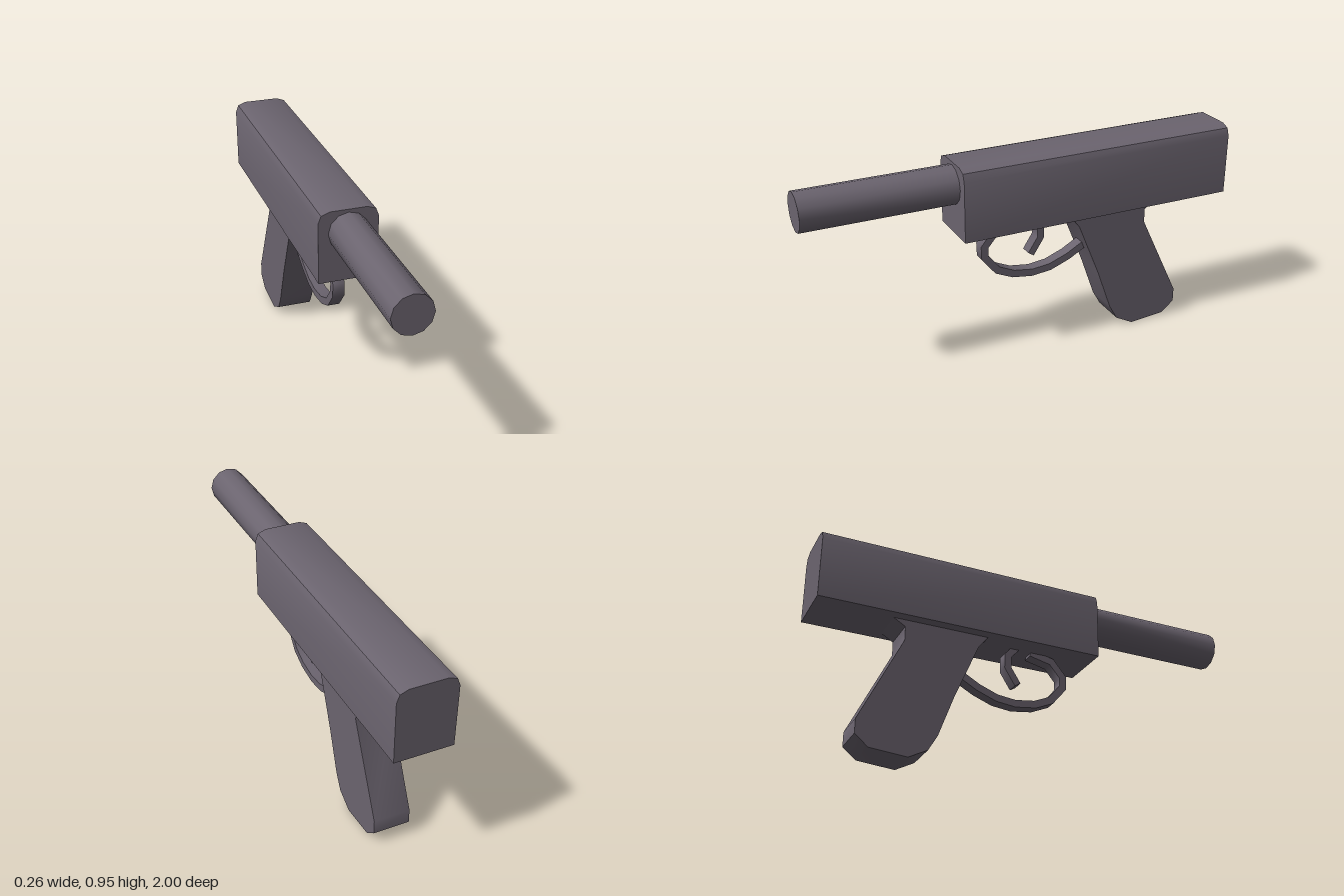
import * as THREE from 'three';
import { toCreasedNormals } from 'three/addons/utils/BufferGeometryUtils.js';

const material = new THREE.MeshStandardMaterial({ color: 0x6b646f });

function part(name, geometry) {
  const mesh = new THREE.Mesh(toCreasedNormals(geometry, 0.8), material);
  mesh.name = name;
  return mesh;
}

function extrude(points, depth) {
  const shape = new THREE.Shape(points.map(([a, b]) => new THREE.Vector2(a, b)));
  return new THREE.ExtrudeGeometry(shape, { depth, bevelEnabled: false });
}

// Side profile given as [z, y], extruded across x and centred
function sidePlate(points, width) {
  return extrude(points, width).translate(0, 0, -width / 2).rotateY(-Math.PI / 2);
}

// Outline of a strip of even thickness along a [z, y] centre line, with mitred corners
function strip(line, thickness) {
  const pts = line.map(([a, b]) => new THREE.Vector2(a, b));
  const normal = (p, q) => new THREE.Vector2(p.y - q.y, q.x - p.x).normalize();
  const sides = [[], []];
  pts.forEach((p, i) => {
    const n0 = normal(pts[Math.max(i - 1, 0)], pts[Math.max(i, 1)]);
    const n1 = i < pts.length - 1 ? normal(p, pts[i + 1]) : n0;
    const m = n0.clone().add(n1).normalize();
    m.multiplyScalar(thickness / 2 / m.dot(n1));
    sides[0].push([p.x + m.x, p.y + m.y]);
    sides[1].unshift([p.x - m.x, p.y - m.y]);
  });
  return [...sides[0], ...sides[1]];
}

export function createModel() {
  const group = new THREE.Group();
  group.name = 'pistol';

  // Upper body with chamfered, smooth top corners
  const half = [[0.13, 0.622], [0.132, 0.9], [0.119, 0.934], [0.082, 0.948]];
  const mirrored = half.map(([x, y]) => [-x, y]).reverse();
  group.add(part('slide', extrude([...half, ...mirrored], 1.315).translate(0, 0, -1)));

  // Twelve-sided barrel
  const barrel = new THREE.CylinderGeometry(0.088, 0.088, 0.7, 12);
  group.add(part('barrel', barrel.rotateX(Math.PI / 2).translate(0, 0.847, 0.65)));

  // Slanted grip
  group.add(part('grip', sidePlate([
    [-0.21, 0.628], [-0.26, 0.565], [-0.365, 0.31], [-0.435, 0.115], [-0.475, 0.045],
    [-0.56, 0], [-0.73, 0.015], [-0.79, 0.065], [-0.79, 0.13], [-0.6, 0.525],
    [-0.6, 0.59], [-0.665, 0.628],
  ], 0.165)));

  // Curved guard from the slide round to the grip
  group.add(part('triggerGuard', sidePlate(strip([
    [0.02, 0.622], [0.125, 0.598], [0.182, 0.53], [0.18, 0.478], [0.12, 0.405],
    [0.042, 0.37], [-0.055, 0.356], [-0.145, 0.366], [-0.235, 0.4], [-0.325, 0.45],
  ], 0.034), 0.054)));

  // Hooked trigger
  group.add(part('trigger', sidePlate(strip([
    [-0.04, 0.645], [-0.093, 0.585], [-0.093, 0.525], [-0.045, 0.45],
  ], 0.032), 0.054)));

  return group;
}
